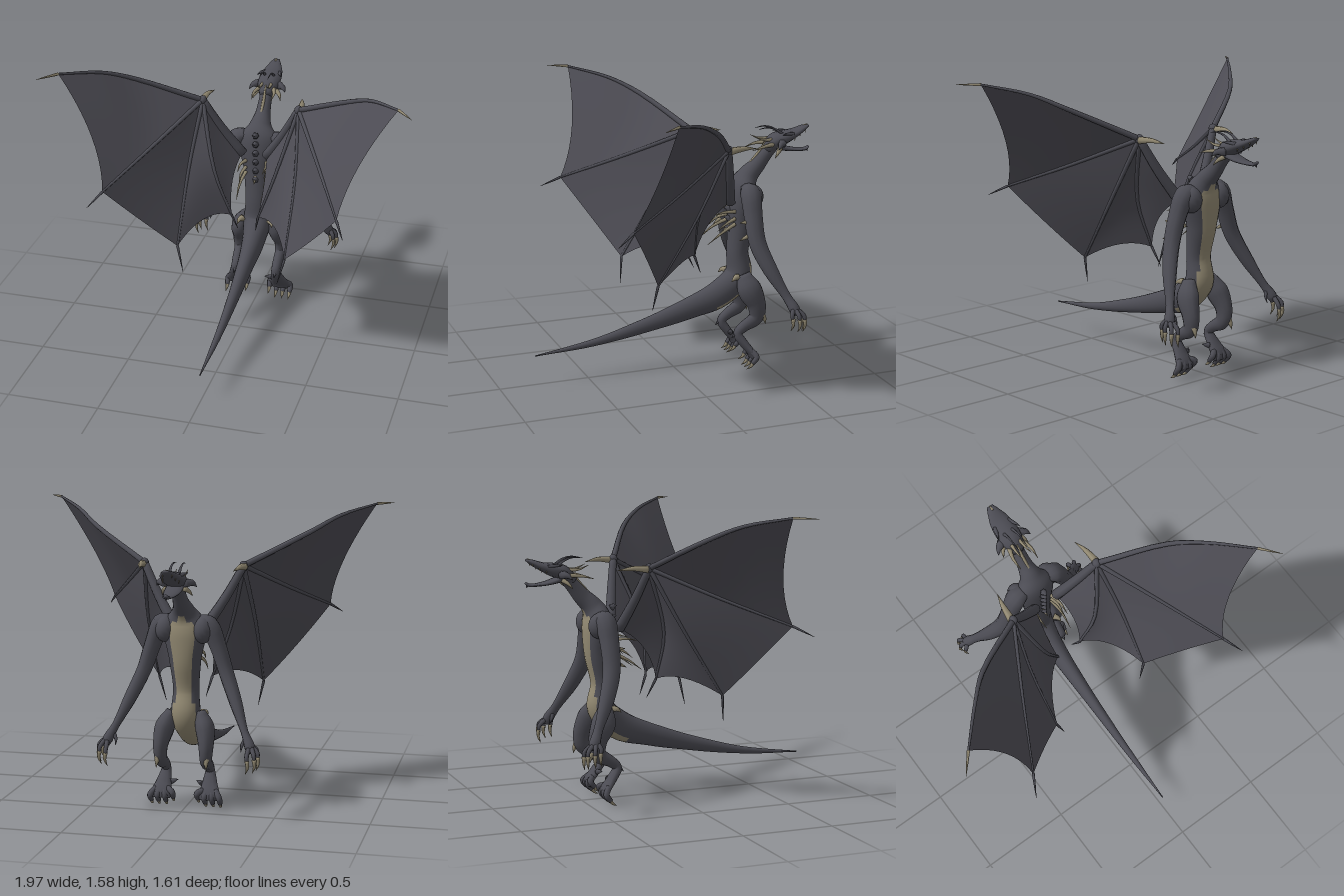
import * as THREE from 'three';

const V = (p) => new THREE.Vector3(p[0], p[1], p[2]);

export function createModel() {
  const hide = new THREE.MeshStandardMaterial({ color: 0x4c4c54 });
  hide.name = 'dark hide';
  const horn = new THREE.MeshStandardMaterial({ color: 0x928972 });
  horn.name = 'pale horn';
  const skin = new THREE.MeshStandardMaterial({ color: 0x4e4d55, side: THREE.DoubleSide });
  skin.name = 'wing skin';

  const root = new THREE.Group();
  root.name = 'dragon';
  const group = (name) => {
    const g = new THREE.Group();
    g.name = name;
    root.add(g);
    return g;
  };

  // Smooth tapered body from sections [x, y, z, halfWidth, halfDepth];
  // belly(t) gives the half-angle of a pale underside
  function limb(parent, name, mat, sections, { steps = 4, sides = 10, belly = null } = {}) {
    const path = new THREE.CatmullRomCurve3(sections.map(V));
    const size = new THREE.CatmullRomCurve3(
      sections.map((s) => new THREE.Vector3(s[3], s[4] ?? s[3], 0)), false, 'catmullrom', 0.4);
    const n = (sections.length - 1) * steps;
    const pos = [], main = [], under = [];
    for (let i = 0; i <= n; i++) {
      const t = i / n, c = path.getPoint(t), r = size.getPoint(t), T = path.getTangent(t);
      const X = new THREE.Vector3(1, 0, 0).addScaledVector(T, -T.x).normalize();
      const N = T.clone().cross(X);
      for (let j = 0; j < sides; j++) {
        const a = (j / sides) * Math.PI * 2;
        const p = c.clone().addScaledVector(X, Math.cos(a) * Math.max(r.x, 0.001))
          .addScaledVector(N, Math.sin(a) * Math.max(r.y, 0.001));
        pos.push(p.x, p.y, p.z);
        if (i === n) continue;
        const k = (j + 1) % sides, b = i * sides, d = b + sides;
        const mid = Math.abs(((j + 0.5) / sides) * Math.PI * 2 - Math.PI / 2);
        const list = belly && mid < belly(t) ? under : main;
        list.push(b + j, b + k, d + k, b + j, d + k, d + j);
      }
    }
    // End caps
    const first = pos.length / 3;
    pos.push(...path.getPoint(0).toArray(), ...path.getPoint(1).toArray());
    for (let j = 0; j < sides; j++) {
      const k = (j + 1) % sides;
      main.push(first, k, j, first + 1, n * sides + j, n * sides + k);
    }
    const geo = new THREE.BufferGeometry();
    geo.setAttribute('position', new THREE.Float32BufferAttribute(pos, 3));
    geo.setIndex([...main, ...under]);
    if (belly) {
      geo.addGroup(0, main.length, 0);
      geo.addGroup(main.length, under.length, 1);
    }
    geo.computeVertexNormals();
    const mesh = new THREE.Mesh(geo, belly ? [mat, horn] : mat);
    mesh.name = name;
    parent.add(mesh);
  }

  // Curved spike from a to b, bent at its middle
  function spike(parent, name, a, b, r, bend = [0, 0, 0], mat = horn) {
    const m = a.map((v, i) => (v + b[i]) / 2 + bend[i]);
    limb(parent, name, mat, [[...a, r], [...m, r * 0.65], [...b, 0.001]], { steps: 3, sides: 6 });
  }

  function ball(parent, name, p, scale) {
    const mesh = new THREE.Mesh(new THREE.SphereGeometry(1, 14, 10), hide);
    mesh.position.set(...p);
    mesh.scale.set(...scale);
    mesh.name = name;
    parent.add(mesh);
  }

  // Tail, torso and neck in one sweep; the pale belly is wide under the tail and narrows to the throat
  const body = group('body');
  const bellyAngle = (t) => (t < 0.27 || t > 0.79 ? 0 : t < 0.42 ? 0.8 : t < 0.72 ? 0.63 : 0.35);
  limb(body, 'tailTorsoNeck', hide, [
    [0, 0.165, 0.8, 0.003, 0.003], [0, 0.2, 0.47, 0.018, 0.02], [0, 0.262, 0.17, 0.03, 0.04],
    [0, 0.335, -0.1, 0.045, 0.062], [0, 0.4, -0.28, 0.063, 0.08], [0, 0.5, -0.385, 0.08, 0.075],
    [0, 0.64, -0.38, 0.07, 0.06], [0, 0.8, -0.4, 0.085, 0.074], [0, 0.93, -0.405, 0.112, 0.078],
    [0, 1.01, -0.41, 0.108, 0.07], [0, 1.065, -0.44, 0.062, 0.056], [0, 1.115, -0.49, 0.042, 0.046],
    [0, 1.18, -0.545, 0.036, 0.038], [0, 1.24, -0.6, 0.04, 0.035]], { steps: 6, sides: 20, belly: bellyAngle });

  // Spines along the back and a pale ridge down the neck
  for (let i = 0; i < 6; i++) {
    const y = 0.77 + i * 0.055, z = -0.335 + 0.002 * i;
    spike(body, 'backSpine', [0, y, z], [0, y + 0.01, z + 0.035], 0.02, [0, 0.006, 0], hide);
  }
  spike(body, 'lowBackSpine', [0, 0.79, -0.335], [0, 0.76, -0.29], 0.012);
  limb(body, 'neckRidge', horn, [[0, 1.085, -0.407, 0.002], [0, 1.14, -0.457, 0.008], [0, 1.2, -0.51, 0.008],
    [0, 1.26, -0.55, 0.004]], { sides: 6 });

  // Head with open jaws
  const head = group('head');
  limb(head, 'skull', hide, [
    [0, 1.195, -0.545, 0.035, 0.035], [0, 1.245, -0.595, 0.06, 0.042], [0, 1.265, -0.655, 0.064, 0.036],
    [0, 1.284, -0.715, 0.054, 0.023], [0, 1.306, -0.765, 0.034, 0.016], [0, 1.32, -0.797, 0.018, 0.006]], { sides: 12 });
  limb(head, 'lowerJaw', hide, [
    [0, 1.225, -0.585, 0.045, 0.025], [0, 1.2, -0.66, 0.046, 0.014], [0, 1.187, -0.74, 0.032, 0.009],
    [0, 1.188, -0.785, 0.02, 0.009], [0, 1.2, -0.802, 0.01, 0.006]], { sides: 12 });
  spike(head, 'chinSpike', [0, 1.19, -0.79], [0, 1.172, -0.797], 0.008, [0, 0, 0], hide);
  spike(head, 'snoutHorn', [0, 1.315, -0.77], [0, 1.328, -0.795], 0.009);

  for (const s of [1, -1]) {
    const m = (p) => [s * p[0], ...p.slice(1)];
    const side = s > 0 ? 'left' : 'right';
    const path = (...pts) => pts.map(m);
    const claw = (g, name, a, b, r, bend, mat) => spike(g, name, m(a), m(b), r, m(bend ?? [0, 0, 0]), mat);

    // Horns, cheek frill, brows and teeth
    limb(head, 'longHorn', hide, path([0.025, 1.28, -0.64, 0.01], [0.026, 1.316, -0.59, 0.006],
      [0.026, 1.328, -0.54, 0.004], [0.025, 1.322, -0.49, 0.001]), { sides: 6 });
    claw(head, 'rearHorn', [0.04, 1.235, -0.57], [0.055, 1.212, -0.44], 0.013, [0.01, 0.006, 0]);
    claw(head, 'crownHorn', [0.025, 1.26, -0.57], [0.03, 1.285, -0.46], 0.01, [0, -0.01, 0]);
    claw(head, 'cheekSpike', [0.05, 1.24, -0.62], [0.105, 1.215, -0.575], 0.026, [0.008, 0.01, 0], hide);
    claw(head, 'cheekSpike', [0.045, 1.21, -0.61], [0.08, 1.165, -0.565], 0.015, [0.006, 0.004, 0]);
    claw(head, 'brow', [0.042, 1.283, -0.69], [0.07, 1.29, -0.615], 0.013, [0, 0.004, 0], hide);
    for (let i = 0; i < 3; i++) {
      const z = -0.7 - i * 0.035, x = 0.042 - i * 0.009;
      claw(head, 'tooth', [x, 1.268 + i * 0.017, z], [x, 1.245 + i * 0.02, z], 0.004);
    }

    // Arm with clawed hand
    const arm = group(side + 'Arm');
    ball(arm, 'chestMuscle', m([0.1, 0.965, -0.425]), [0.055, 0.07, 0.062]);
    limb(arm, 'armLimb', hide, path([0.07, 1.015, -0.405, 0.03, 0.04], [0.125, 0.99, -0.403, 0.052, 0.058],
      [0.175, 0.88, -0.398, 0.045, 0.052], [0.222, 0.74, -0.405, 0.04, 0.048], [0.282, 0.6, -0.455, 0.034, 0.041],
      [0.345, 0.46, -0.525, 0.02, 0.025], [0.38, 0.39, -0.56, 0.028, 0.03], [0.388, 0.36, -0.57, 0.018, 0.018]));
    for (let i = 0; i < 4; i++) {
      // Knuckles fan across the palm
      const x = [0.41, 0.422, 0.41, 0.375][i], z = [-0.535, -0.57, -0.605, -0.615][i], y = 0.335 - 0.006 * i;
      limb(arm, 'finger', hide, path([0.38, 0.4, -0.555, 0.014], [x, y + 0.035, z, 0.012],
        [x + 0.002, y, z - 0.003, 0.009]), { sides: 7 });
      claw(arm, 'fingerClaw', [x + 0.002, y + 0.012, z - 0.003], [x - 0.008, y - 0.06, z + 0.004], 0.0125, [0.008, 0, -0.005]);
    }
    claw(arm, 'thumb', [0.36, 0.43, -0.54], [0.335, 0.36, -0.57], 0.014, [-0.01, 0, 0], hide);
    claw(arm, 'elbowSpike', [0.2, 0.78, -0.37], [0.19, 0.75, -0.31], 0.014);
    claw(arm, 'elbowSpike', [0.185, 0.85, -0.365], [0.185, 0.85, -0.315], 0.014);

    // Long spikes on the flank
    [[0.88, 0.87, -0.2], [0.84, 0.78, -0.23], [0.81, 0.71, -0.175]].forEach(([y0, y1, z1]) =>
      claw(body, 'flankSpike', [0.06, y0, -0.34], [0.07, y1, z1], 0.011, [0.008, 0.01, 0]));

    // Leg with clawed foot
    const leg = group(side + 'Leg');
    limb(leg, 'thighAndShin', hide, path([0.075, 0.52, -0.385, 0.03, 0.04], [0.108, 0.44, -0.41, 0.052, 0.07],
      [0.123, 0.345, -0.45, 0.039, 0.054], [0.122, 0.275, -0.445, 0.032, 0.044],
      [0.12, 0.23, -0.375, 0.028, 0.031], [0.12, 0.195, -0.338, 0.026, 0.026],
      [0.125, 0.13, -0.375, 0.042, 0.024], [0.13, 0.08, -0.412, 0.058, 0.021],
      [0.13, 0.05, -0.42, 0.05, 0.015]), { sides: 12 });
    for (let i = 0; i < 4; i++) {
      const x = 0.068 + i * 0.04, tip = i === 0 ? 0.04 : 0.02;
      limb(leg, 'toe', hide, path([0.1 + i * 0.02, 0.1, -0.4, 0.017], [x, tip + 0.045, -0.425, 0.017],
        [x, tip + 0.01, -0.4, 0.013]), { sides: 8 });
      claw(leg, 'toeClaw', [x, tip + 0.015, -0.405], [x, tip - 0.018, -0.365], 0.012, [0, -0.004, -0.004]);
    }
    claw(leg, 'kneeSpike', [0.13, 0.3, -0.475], [0.135, 0.235, -0.498], 0.018, [0, 0, -0.006]);
    claw(leg, 'heelSpike', [0.12, 0.2, -0.33], [0.12, 0.17, -0.3], 0.012, [0, 0, 0], hide);
    claw(leg, 'innerHeelSpike', [0.085, 0.13, -0.38], [0.05, 0.14, -0.36], 0.016, [0, 0, 0], hide);
    claw(leg, 'hipSpike', [0.08, 0.51, -0.35], [0.1, 0.49, -0.305], 0.02, [0.005, 0.008, 0]);

    // Wing bones, from the wrist outward
    const wing = group(side + 'Wing');
    const wrist = [0.27, 1.28, -0.21];
    const bones = [
      [wrist, [0.59, 1.445, -0.02], [0.73, 1.522, 0.12], [0.9, 1.57, 0.31]],
      [wrist, [0.455, 1.125, 0.12], [0.63, 0.985, 0.45]],
      [wrist, [0.3, 0.95, -0.03], [0.3, 0.58, 0.2]],
      [wrist, [0.17, 0.92, -0.085], [0.075, 0.655, -0.095]],
      [wrist, [0.18, 1.11, -0.255], [0.07, 0.94, -0.305]],
    ].map((b) => b.map(m));
    const tips = [[0.985, 1.568, 0.41], [0.685, 0.93, 0.55], [0.265, 0.435, 0.22], [0.05, 0.55, -0.14]];
    const radii = [[0.016, 0.006], [0.013, 0.006], [0.013, 0.006], [0.013, 0.006], [0.021, 0.03]];
    bones.forEach((b, i) => {
      const [r0, r1] = radii[i];
      limb(wing, i < 4 ? 'wingFinger' : 'wingArm', hide,
        b.map((p, k) => [...p, r0 + ((r1 - r0) * k) / (b.length - 1)]), { sides: 8 });
      if (i < 4) spike(wing, 'wingTip', b[b.length - 1], m(tips[i]), 0.008, [0, 0, 0], i ? hide : horn);
    });
    ball(wing, 'wrist', m(wrist), [0.023, 0.025, 0.025]);
    claw(wing, 'wristClaw', [0.275, 1.275, -0.22], [0.25, 1.272, -0.38], 0.021, [0.005, 0.008, 0]);

    // Scalloped skin stretched between neighbouring bones
    const hems = [[0.715, 1.25, 0.35], [0.465, 0.77, 0.315], [0.2, 0.67, 0.02], [0.09, 0.83, -0.17]].map(m);
    hems.forEach((hem, i) => {
      const A = new THREE.CatmullRomCurve3(bones[i].map(V)), B = new THREE.CatmullRomCurve3(bones[i + 1].map(V));
      const sag = V(hem).sub(A.getPoint(1).lerp(B.getPoint(1), 0.5));
      const geo = new THREE.PlaneGeometry(1, 1, 10, 12), pos = geo.attributes.position, uv = geo.attributes.uv;
      for (let k = 0; k < pos.count; k++) {
        const v = uv.getX(k), u = uv.getY(k);
        const p = A.getPointAt(u).lerp(B.getPointAt(u), v).addScaledVector(sag, u * u * 4 * v * (1 - v));
        pos.setXYZ(k, p.x, p.y, p.z);
      }
      geo.computeVertexNormals();
      const mesh = new THREE.Mesh(geo, skin);
      mesh.name = 'wingSkin';
      wing.add(mesh);
    });
  }
  return root;
}
